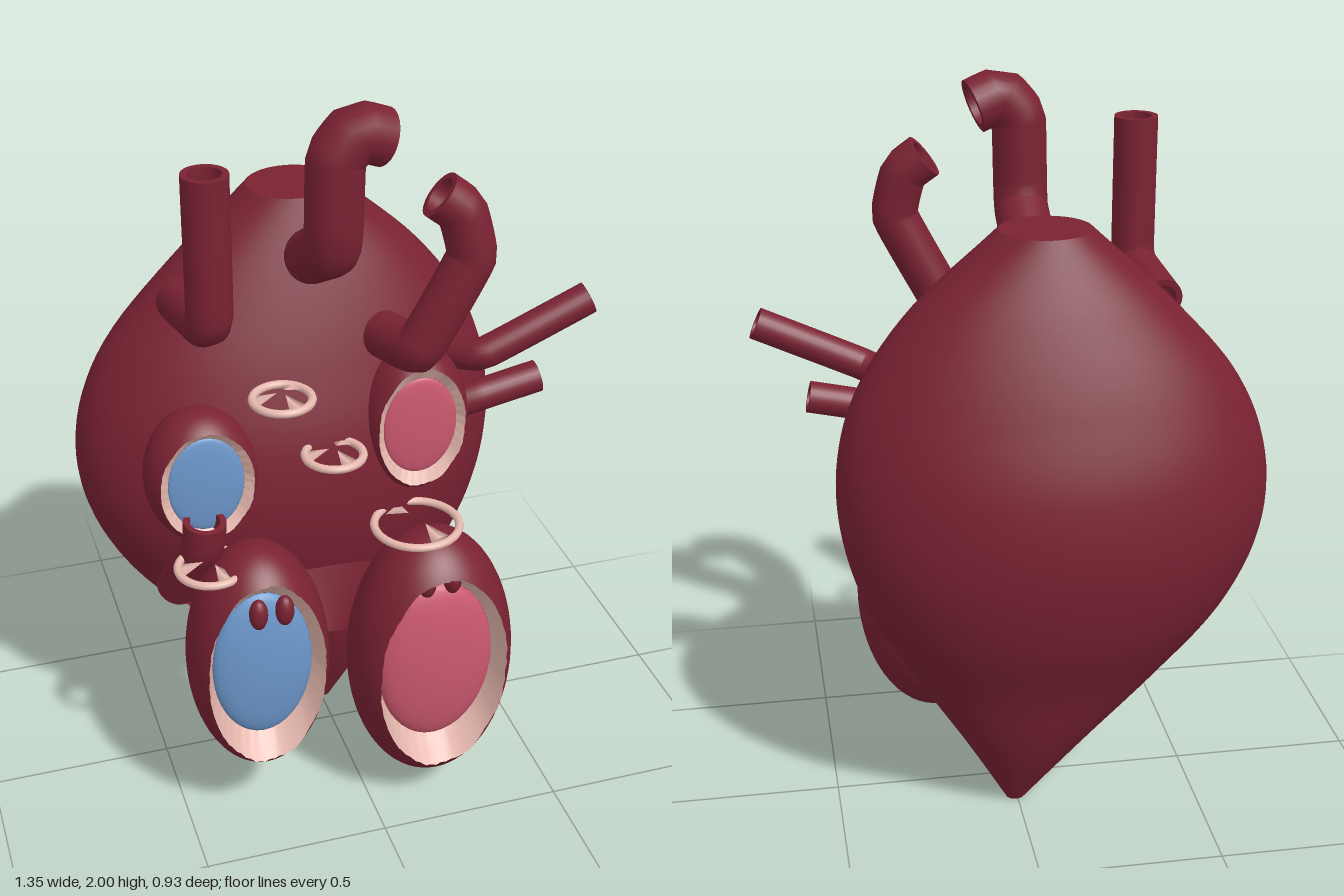
import * as THREE from 'three';

const mat = (name, color, side = THREE.FrontSide) => {
  const m = new THREE.MeshStandardMaterial({ color, side });
  m.name = name;
  return m;
};

export function createModel() {
  const muscle = mat('muscle red', 0x7a2232, THREE.DoubleSide);
  const lining = mat('lining cream', 0xe6b8ae, THREE.DoubleSide);
  const oxygenated = mat('oxygenated pink', 0xcb586f);
  const deoxygenated = mat('deoxygenated blue', 0x6c97cb);
  const model = new THREE.Group();
  model.name = 'heart';
  const add = (name, geo, material, parent = model) => {
    const m = new THREE.Mesh(geo, material);
    m.name = name;
    parent.add(m);
    return m;
  };

  // Body wall: ellipses whose left edge, right edge and depth follow a spline in height
  const H = 1.67, ZC = -0.12;
  const profile = new THREE.CatmullRomCurve3([
    [-0.02, 0.03, 0.02], [-0.2, 0.15, 0.13], [-0.4, 0.28, 0.21], [-0.57, 0.4, 0.3],
    [-0.66, 0.465, 0.345], [-0.665, 0.475, 0.33], [-0.585, 0.42, 0.27],
    [-0.41, 0.28, 0.195], [-0.19, 0.05, 0.11],
  ].map(p => new THREE.Vector3(...p)), false, 'catmullrom');
  const wall = (y, a) => {
    const p = profile.getPoint(THREE.MathUtils.clamp(y / H, 0, 1));
    return new THREE.Vector3((p.x + p.y) / 2 + (p.y - p.x) / 2 * Math.cos(a), y, ZC + p.z * Math.sin(a));
  };
  const wallPatch = (a0, a1, low, high, rows, cols = 40) => {
    const pos = [], nor = [], idx = [], e = 0.002;
    for (let i = 0; i <= rows; i++) for (let j = 0; j <= cols; j++) {
      const a = a0 + (a1 - a0) * j / cols;
      const y = low(a) + (high(a) - low(a)) * i / rows;
      const dy = wall(Math.min(y + e, H), a).sub(wall(Math.max(y - e, 0), a));
      const da = wall(y, a + e).sub(wall(y, a - e));
      pos.push(...wall(y, a).toArray());
      nor.push(...dy.cross(da).normalize().toArray());
      if (i < rows && j < cols) {
        const p = i * (cols + 1) + j, q = p + cols + 1;
        idx.push(p, q, p + 1, q, q + 1, p + 1);
      }
    }
    const g = new THREE.BufferGeometry();
    g.setAttribute('position', new THREE.Float32BufferAttribute(pos, 3));
    g.setAttribute('normal', new THREE.Float32BufferAttribute(nor, 3));
    g.setIndex(idx);
    return g;
  };
  // The front wall is open between two curved edges
  const s = a => Math.max(0, Math.sin(a));
  const upperEdge = a => 0.47 + 0.22 * s(a) ** 2.5;
  const lowerEdge = a => 0.17 + 0.2 * s(a) ** 2;
  add('backWall', wallPatch(Math.PI, Math.PI * 2, () => 0, () => H, 48), muscle);
  add('upperFrontWall', wallPatch(0, Math.PI, upperEdge, () => H, 36), muscle);
  add('lowerFrontWall', wallPatch(0, Math.PI, () => 0, lowerEdge, 14), muscle);
  for (const [name, y, turn] of [['topCap', H, -1], ['apexCap', 0, 1]]) {
    const p = profile.getPoint(y / H);
    const cap = new THREE.CircleGeometry(1, 40).rotateX(turn * Math.PI / 2).scale((p.y - p.x) / 2, 1, p.z);
    add(name, cap.translate((p.x + p.y) / 2, y, ZC), muscle);
  }

  // Chambers: cut ellipsoid shell with a ragged rim, recessed lining and a blood-coloured dome
  const SEG = 72;
  const ragged = (x, y) => {
    const a = Math.atan2(y, x);
    return Math.sin(23 * a) * Math.cos(14 * a + 1);
  };
  const chamber = (name, c, r, cut, inner, floorZ, domeH, color) => {
    const g = new THREE.Group();
    g.name = name;
    g.position.set(...c);
    const k = (cut - c[2]) / r[2], rim = Math.sqrt(1 - k * k), t0 = Math.acos(k);
    const rag = 0.04 * r[2];
    const shell = new THREE.SphereGeometry(1, SEG, 28, 0, Math.PI * 2, t0, Math.PI - t0).rotateX(Math.PI / 2);
    const sp = shell.attributes.position;
    for (let i = 0; i <= SEG; i++) sp.setZ(i, k + 0.04 * ragged(sp.getX(i), sp.getY(i)));
    add('chamberShell', shell.scale(...r), muscle, g);

    const ring = new THREE.RingGeometry(0.5, 1, SEG, 1), rp = ring.attributes.position;
    for (let i = 0; i < rp.count; i++) {
      const x = rp.getX(i), y = rp.getY(i), d = Math.hypot(x, y);
      if (d > 0.75) rp.setXYZ(i, x * r[0] * rim, y * r[1] * rim, cut - c[2] + rag * ragged(x, y));
      else rp.setXYZ(i, x / d * inner[0], y / d * inner[1], floorZ - c[2]);
    }
    ring.computeVertexNormals();
    add('chamberLining', ring, lining, g);

    const dome = new THREE.SphereGeometry(1, 40, 12, 0, Math.PI * 2, 0, Math.PI / 2).rotateX(Math.PI / 2);
    add('chamberInterior', dome.scale(inner[0], inner[1], domeH).translate(0, 0, floorZ - c[2]), color, g);
    model.add(g);
  };
  chamber('rightVentricle', [-0.295, 0.52, 0.29], [0.19, 0.34, 0.2], 0.4, [0.135, 0.225], 0.34, 0.04, deoxygenated);
  chamber('leftVentricle', [0.175, 0.455, 0.33], [0.225, 0.385, 0.205], 0.455, [0.16, 0.25], 0.38, 0.05, oxygenated);
  chamber('rightAtrium', [-0.395, 1.01, 0.14], [0.15, 0.19, 0.14], 0.22, [0.1, 0.135], 0.2, 0.015, deoxygenated);
  chamber('leftAtrium', [0.18, 1.085, 0.14], [0.145, 0.21, 0.14], 0.22, [0.1, 0.14], 0.2, 0.015, oxygenated);

  // Papillary muscles hanging at the top of each ventricle
  for (const [x, y, z] of [[-0.31, 0.7, 0.37], [-0.24, 0.7, 0.37], [0.135, 0.735, 0.41], [0.205, 0.735, 0.41]])
    add('papillaryMuscle', new THREE.SphereGeometry(1, 16, 12).scale(0.025, 0.045, 0.025).translate(x, y, z), muscle);

  // Vessels: open tubes along nearly straight runs
  const vessel = (name, r, pts) => {
    const path = new THREE.CatmullRomCurve3(pts.map(p => new THREE.Vector3(...p)), false, 'catmullrom', 0.15);
    const steps = (pts.length - 1) * 8;
    add(name, new THREE.TubeGeometry(path, steps, r, 24), muscle);
    add(name + 'Bore', new THREE.TubeGeometry(path, steps, r * 0.72, 24), muscle);
    // Rims joining the outer and inner walls at both ends
    for (const t of [0, 1]) {
      const rimMesh = add(name + 'Rim', new THREE.RingGeometry(r * 0.72, r, 24), muscle);
      const dir = path.getTangent(t).multiplyScalar(t ? 1 : -1);
      rimMesh.position.copy(path.getPoint(t));
      rimMesh.quaternion.setFromUnitVectors(new THREE.Vector3(0, 0, 1), dir);
    }
  };
  vessel('superiorVenaCava', 0.058, [[-0.375, 1.865, 0.22], [-0.375, 1.5, 0.22], [-0.38, 1.46, 0.19], [-0.4, 1.43, -0.02]]);
  vessel('aorta', 0.072, [[-0.065, 1.51, 0], [-0.065, 1.63, 0.21], [-0.065, 1.7, 0.23], [-0.06, 1.87, 0.23],
    [-0.01, 1.93, 0.23], [0.06, 1.905, 0.22]]);
  vessel('pulmonaryTrunk', 0.062, [[0.1, 1.33, 0.13], [0.14, 1.36, 0.28], [0.265, 1.6, 0.295], [0.24, 1.72, 0.285], [0.185, 1.765, 0.275]]);
  vessel('upperPulmonaryVein', 0.043, [[0.3, 1.21, 0.05], [0.37, 1.235, 0.14], [0.655, 1.365, 0.155]]);
  vessel('lowerPulmonaryVein', 0.043, [[0.28, 1.09, 0.13], [0.36, 1.115, 0.145], [0.525, 1.15, 0.15]]);
  vessel('inferiorVenaCava', 0.056, [[-0.41, 0.92, 0.23], [-0.415, 0.84, 0.22], [-0.465, 0.64, 0.1]]);

  // Valves: flat rings with small leaflets pointing inward
  const valve = (name, x, y, z, r, leaflets) => {
    const g = new THREE.Group();
    g.name = name;
    g.position.set(x, y, z);
    add('valveRing', new THREE.TorusGeometry(r, 0.011, 10, 48).rotateX(Math.PI / 2), lining, g);
    for (let i = 0; i < leaflets; i++) {
      const leaf = new THREE.ConeGeometry(0.03, 0.06, 4).scale(1, 1, 0.25).rotateX(-Math.PI / 2 + 0.35);
      const m = add('valveLeaflet', leaf.translate(0, 0.008, r * 0.55), lining, g);
      m.rotation.y = i / leaflets * Math.PI * 2 + 0.4;
    }
    model.add(g);
  };
  valve('pulmonaryValve', -0.205, 1.255, 0.25, 0.075, 3);
  valve('aorticValve', -0.07, 1.07, 0.25, 0.075, 3);
  valve('tricuspidValve', -0.41, 0.81, 0.28, 0.085, 3);
  valve('mitralValve', 0.145, 0.84, 0.29, 0.112, 2);

  return model;
}
